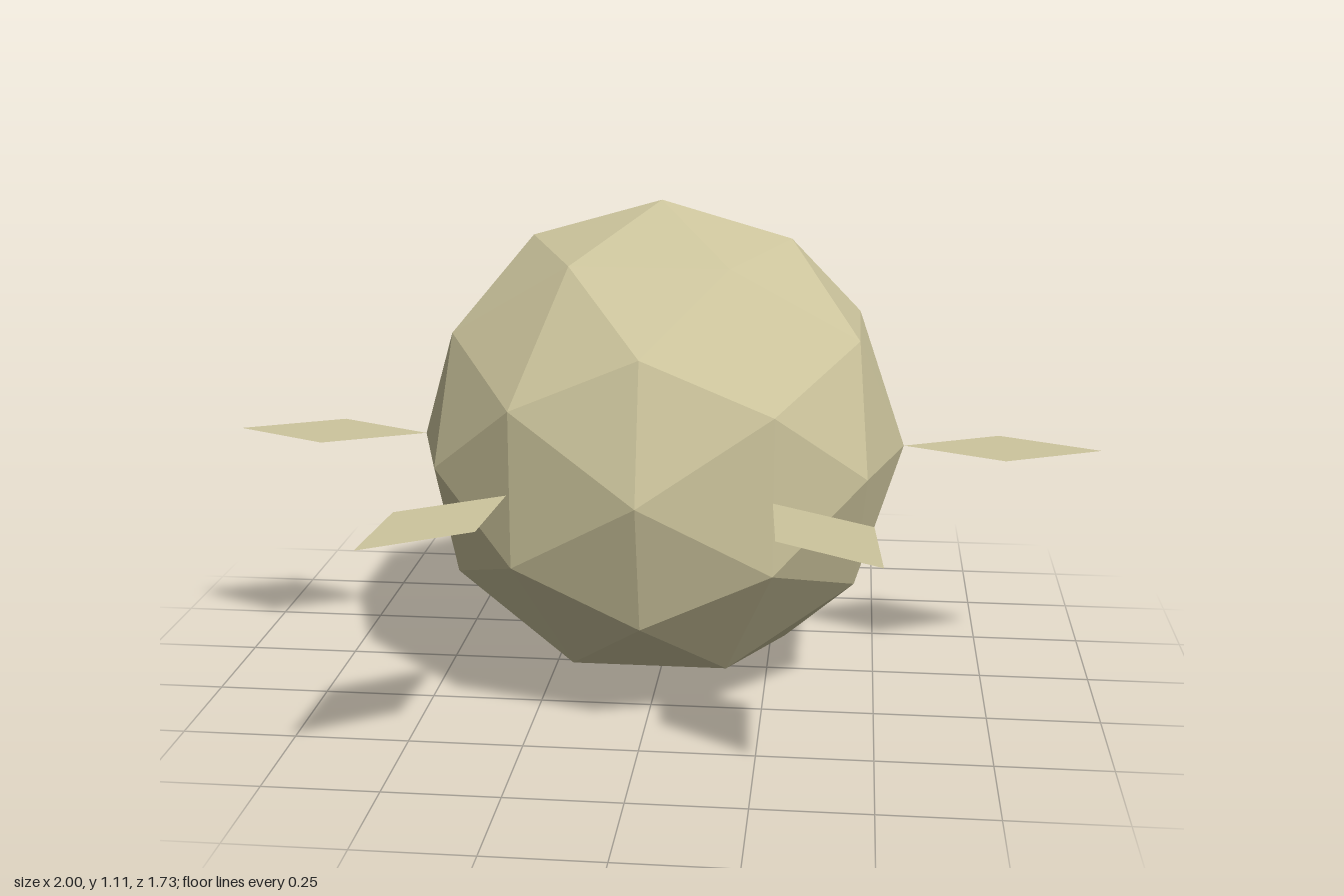
import * as THREE from 'three';

const RADIUS = 0.555;

export function createModel() {
  const model = new THREE.Group();
  model.name = 'facetedBallWithFins';

  const sand = new THREE.MeshStandardMaterial({ color: 0xcdc59d, flatShading: true, side: THREE.DoubleSide });
  sand.name = 'sand';

  // Faceted ball resting on the ground
  const ballGeometry = new THREE.IcosahedronGeometry(RADIUS, 1);
  ballGeometry.computeVertexNormals();
  const ball = new THREE.Mesh(ballGeometry, sand);
  ball.name = 'ball';
  ball.position.y = RADIUS;
  model.add(ball);

  // Flat diamond fin, lying level and pointing outward along +x
  const middle = (RADIUS + 1) / 2;
  const diamond = new THREE.Shape([
    new THREE.Vector2(RADIUS, 0),
    new THREE.Vector2(middle, -0.11),
    new THREE.Vector2(1, 0),
    new THREE.Vector2(middle, 0.11),
  ]);
  const finGeometry = new THREE.ShapeGeometry(diamond).rotateX(-Math.PI / 2);

  // Ring of six fins around the equator
  const fins = new THREE.Group();
  fins.name = 'fins';
  fins.position.y = RADIUS;
  for (let i = 0; i < 6; i++) {
    const fin = new THREE.Mesh(finGeometry, sand);
    fin.name = `fin${i + 1}`;
    fin.rotation.y = (i * Math.PI) / 3;
    fins.add(fin);
  }
  model.add(fins);

  return model;
}
